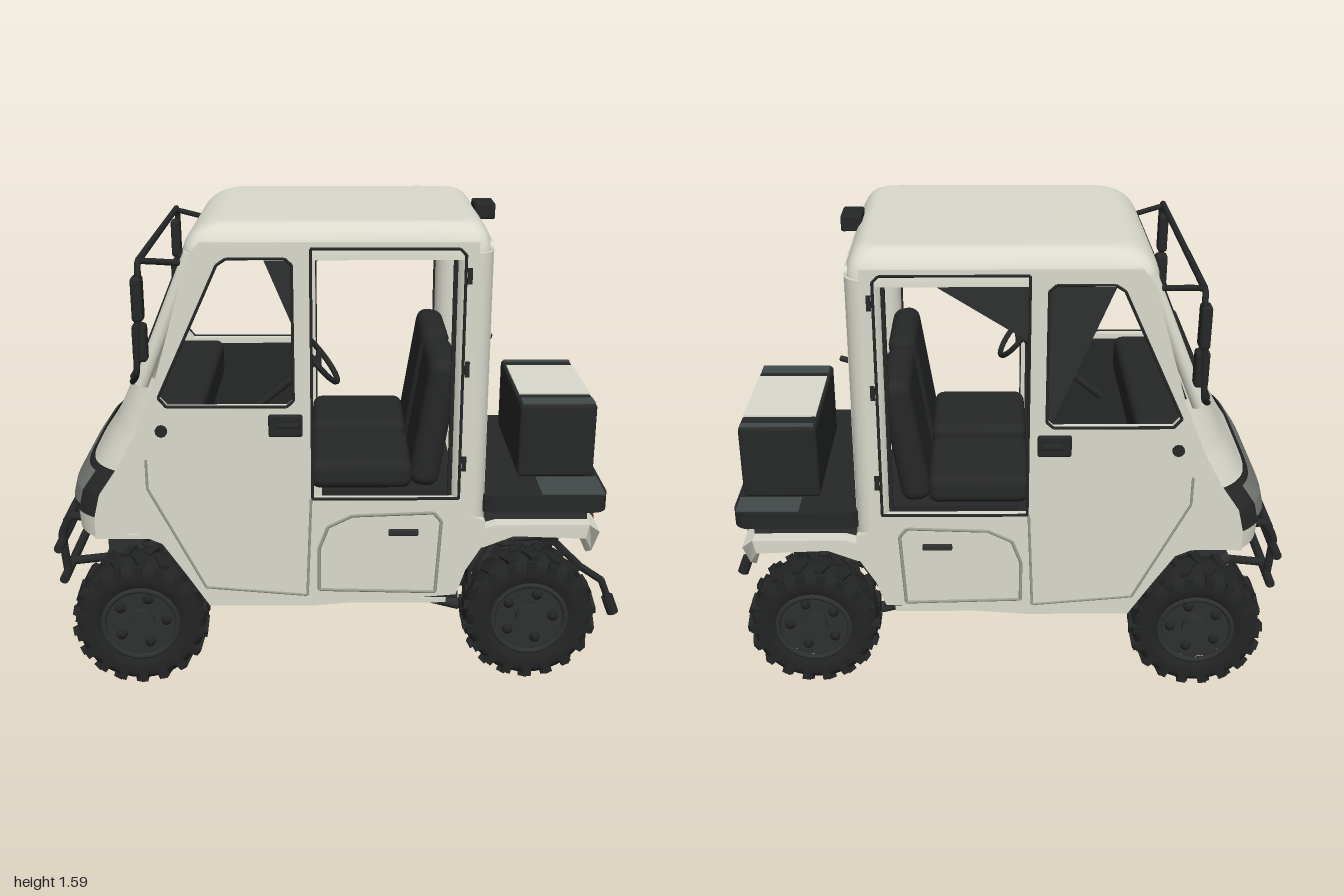
import * as THREE from 'three';
import { RoundedBoxGeometry } from 'three/addons/geometries/RoundedBoxGeometry.js';
import { ParametricGeometry } from 'three/addons/geometries/ParametricGeometry.js';

const mat = (name, color, side = THREE.FrontSide) => Object.assign(new THREE.MeshStandardMaterial({ color, side }), { name });
const V = (p) => new THREE.Vector3(...p);
const poly = (pts) => new THREE.Shape(pts.map((p) => new THREE.Vector2(...p)));
const extrude = (shape, depth) => new THREE.ExtrudeGeometry(shape, { depth, bevelEnabled: false, curveSegments: 8 });
const acrossX = (shape, depth) => extrude(shape, depth).rotateY(Math.PI / 2);
const roundRect = (x0, y0, x1, y1, r) => {
  const s = new THREE.Shape();
  [[x1 - r, y1 - r], [x0 + r, y1 - r], [x0 + r, y0 + r], [x1 - r, y0 + r]].forEach(([x, y], i) =>
    s.absarc(x, y, r, i * Math.PI / 2, (i + 1) * Math.PI / 2));
  return s.closePath();
};

export function createModel() {
  const paint = mat('cream paint', 0xdadacd, THREE.DoubleSide);
  const black = mat('black plastic', 0x262727, THREE.DoubleSide);
  const rubber = mat('tyre rubber', 0x232424);
  const metal = mat('dark metal', 0x2e3030);
  const glass = mat('tinted glass', 0x4a5355);
  const slate = mat('slate panel', 0x414a4a);
  const seam = mat('panel seam', 0x9b9c90);
  const red = mat('lamp red', 0x5e2024);
  const lampGrey = mat('lamp cover grey', 0x747871, THREE.DoubleSide);
  const model = new THREE.Group();
  const sides = [1, -1];

  const add = (name, geo, m, p = [0, 0, 0], parent = model) => {
    const mesh = new THREE.Mesh(geo, m);
    mesh.name = name;
    mesh.position.set(...p);
    parent.add(mesh);
    return mesh;
  };
  // boxes are given by their minimum and maximum corners
  const box = (name, m, a, b, r = 0) => {
    const s = a.map((v, i) => b[i] - v), c = a.map((v, i) => (v + b[i]) / 2);
    return add(name, r ? new RoundedBoxGeometry(...s, 3, r) : new THREE.BoxGeometry(...s), m, c);
  };
  const rod = (name, m, a, b, r) => {
    const d = V(b).sub(V(a));
    const mesh = add(name, new THREE.CylinderGeometry(r, r, d.length(), 10), m);
    mesh.position.copy(V(a)).addScaledVector(d, 0.5);
    mesh.quaternion.setFromUnitVectors(new THREE.Vector3(0, 1, 0), d.normalize());
  };
  const rods = (name, m, pts, r) => pts.slice(1).forEach((p, i) => rod(name, m, pts[i], p, r));
  const tube = (name, m, pts, r) =>
    add(name, new THREE.TubeGeometry(new THREE.CatmullRomCurve3(pts.map(V), false, 'catmullrom', 0.2), 32, r, 8), m);

  // ---- cab sides with front window and rear door opening
  const windowPts = [[-0.6, 1.03], [-0.575, 1.0], [-0.19, 1.0], [-0.168, 1.02], [-0.168, 1.46], [-0.19, 1.48], [-0.37, 1.48], [-0.4, 1.46], [-0.6, 1.03]];
  const doorPts = [[-0.11, 0.68], [0.37, 0.68], [0.37, 1.49], [0.35, 1.51], [-0.11, 1.51], [-0.11, 0.68]];
  const hatchPts = [[-0.09, 0.35], [0.3, 0.34], [0.315, 0.6], [0.29, 0.63], [0.02, 0.62], [-0.06, 0.58], [-0.09, 0.5], [-0.09, 0.35]];
  const sideShape = poly([[-0.83, 0.54], [-0.7, 0.56], [-0.61, 0.52], [-0.53, 0.4], [-0.46, 0.29], [-0.11, 0.29],
    [0.37, 0.33], [0.4, 0.42], [0.46, 0.52], [0.46, 0.6], [0.41, 0.62], [0.41, 1.53], [-0.45, 1.53],
    [-0.49, 1.48], [-0.61, 1.08], [-0.685, 0.9], [-0.75, 0.78], [-0.81, 0.7], [-0.83, 0.62]]);
  sideShape.holes.push(poly(windowPts.slice(1)), poly(doorPts.slice(1)));
  const sideGeo = extrude(sideShape, 0.03);
  for (const s of sides) {
    add('cabSide', sideGeo, paint, [0, 0, s > 0 ? 0.4 : -0.43]);
    const at = (pts) => pts.map(([x, y]) => [x, y, s * 0.428]);
    rods('windowSeal', black, at(windowPts), 0.005);
    rods('doorSeal', black, at(doorPts), 0.005);
    rods('doorSeam', seam, at([[-0.65, 0.82], [-0.65, 0.72], [-0.47, 0.36], [-0.13, 0.33], [-0.115, 0.68]]), 0.005);
    rods('hatchSeam', seam, at(hatchPts), 0.006);
    // side plates: x and y range, distance out, half thickness
    const plate = (name, m, x0, y0, x1, y1, z, h, r) => box(name, m, [x0, y0, s * z - h], [x1, y1, s * z + h], r);
    plate('innerDoorTrim', black, -0.58, 0.34, -0.125, 0.98, 0.392, 0.007);
    plate('doorRubber', black, 0.335, 0.68, 0.372, 1.5, 0.392, 0.007);
    plate('sill', paint, -0.46, 0.287, 0.34, 0.305, 0.365, 0.04);
    plate('doorHandle', black, -0.25, 0.9, -0.14, 0.975, 0.43, 0.012, 0.008);
    plate('handleGrip', black, -0.22, 0.935, -0.15, 0.95, 0.445, 0.015, 0.004);
    plate('hatchHandle', metal, 0.14, 0.55, 0.24, 0.572, 0.43, 0.01, 0.005);
    for (const y of [0.78, 1.1, 1.4]) plate('doorHinge', black, 0.375, y, 0.39, y + 0.05, 0.43, 0.006);
    plate('mirrorHousing', black, -0.655, 1.3, -0.62, 1.44, 0.488, 0.028, 0.012);
    plate('lowerMirror', black, -0.66, 1.17, -0.615, 1.29, 0.48, 0.025, 0.012);
    tube('mirrorArm', black, [[-0.5, 1.46, s * 0.4], [-0.63, 1.48, s * 0.46], [-0.63, 1.45, s * 0.5], [-0.65, 1.14, s * 0.5], [-0.68, 1.08, s * 0.41]], 0.01);
    rod('doorLock', black, [-0.595, 0.92, s * 0.42], [-0.595, 0.92, s * 0.44], 0.02);
    // rounded rear corner and windscreen pillars
    add('rearPost', new THREE.CylinderGeometry(0.06, 0.06, 0.95, 20), paint, [0.4, 1.02, s * 0.37]);
    rod('frontPillar', paint, [-0.655, 1.07, s * 0.405], [-0.48, 1.49, s * 0.4], 0.025);
    rod('pillarSeal', black, [-0.67, 1.08, s * 0.378], [-0.505, 1.47, s * 0.375], 0.014);
  }
  // partial dark side panes on one side
  add('frontSidePane', extrude(poly([[-0.38, 1.48], [-0.19, 1.02], [-0.168, 1.02], [-0.168, 1.48]]), 0.005), metal, [0, 0, -0.415]);
  add('rearSidePane', extrude(poly([[-0.11, 1.29], [0.24, 1.51], [-0.11, 1.51]]), 0.005), metal, [0, 0, -0.415]);

  // ---- domed roof made of rounded rings closing on the middle
  const sp = (c) => (Math.abs(c) < 1e-9 ? 0 : Math.sign(c) * Math.pow(Math.abs(c), 0.16));
  const roof = new ParametricGeometry((u, v, t) => {
    const a = Math.min(v / 0.8, 1) * Math.PI / 2, k = 1 - Math.cos(a), f = v > 0.801 ? (1 - v) / 0.2 : 1;
    const x0 = -0.515 + 0.13 * k, x1 = 0.462 - 0.07 * k, w = u * Math.PI * 2;
    t.set((x0 + x1) / 2 + (x1 - x0) / 2 * sp(Math.cos(w)) * f, 1.475 + 0.11 * Math.sin(a), (0.43 - 0.08 * k) * sp(Math.sin(w)) * f);
  }, 96, 10);
  roof.computeVertexNormals();
  add('roof', roof, paint);

  // ---- rear wall with window
  const wall = roundRect(-0.38, 0.5, 0.38, 1.52, 0.02);
  wall.holes.push(roundRect(-0.28, 1.14, 0.28, 1.45, 0.05));
  add('rearWall', acrossX(wall, 0.03), paint, [0.43, 0, 0]);
  add('rearWindow', acrossX(roundRect(-0.285, 1.135, 0.285, 1.455, 0.05), 0.008), glass, [0.445, 0, 0]);
  const gasket = roundRect(-0.29, 1.13, 0.29, 1.46, 0.06);
  gasket.holes.push(roundRect(-0.277, 1.143, 0.277, 1.447, 0.05));
  add('rearWindowSeal', acrossX(gasket, 0.008), black, [0.457, 0, 0]);
  box('rearInnerTrim', black, [0.415, 0.33, -0.38], [0.428, 1.1, 0.38]);
  box('rearCamera', black, [0.43, 1.535, -0.05], [0.5, 1.59, 0.065], 0.008);
  rods('rearLatch', metal, [[0.52, 1.095, -0.07], [0.475, 1.095, -0.1], [0.475, 1.1, 0]], 0.01);

  // ---- nose: swept front outline with rounded corners
  const outline = [[0.54, -0.915], [0.62, -0.92], [0.7, -0.9], [0.78, -0.845], [0.9, -0.775], [1.09, -0.685]];
  const frontX = (y) => {
    const i = Math.max(0, Math.min(4, outline.findIndex((p) => p[0] >= y) - 1));
    const [[ya, xa], [yb, xb]] = [outline[i], outline[i + 1]];
    return xa + (xb - xa) * (y - ya) / (yb - ya);
  };
  const noseSkin = (name, m, y0, y1, spread, out) => add(name, new ParametricGeometry((u, v, t) => {
    const y = Math.min(y0 + (y1 - y0) * v, 1.09), q = Math.sin((u * 2 - 1) * spread * Math.PI / 2);
    t.set(frontX(y) - out + 0.1 * Math.pow(Math.abs(q), 6), y, (0.428 + out) * q);
  }, 40, 22), m);
  noseSkin('nosePanel', paint, 0.54, 1.09, 1, 0);
  noseSkin('headlightBand', black, 0.62, 0.785, 0.97, 0.008);
  noseSkin('headlightCover', lampGrey, 0.65, 0.768, 0.68, 0.015);
  box('noseFloor', paint, [-0.84, 0.525, -0.4], [-0.62, 0.54, 0.4]);
  // windscreen frame and upper crossbar
  for (const [name, x, y, w, r] of [['windscreenSill', -0.675, 1.085, 0.38, 0.018], ['windscreenHeader', -0.505, 1.455, 0.38, 0.028],
    ['visorBar', -0.63, 1.485, 0.47, 0.011]]) rod(name, black, [x, y, -w], [x, y, w], r);

  // ---- interior
  box('cabFloor', black, [-0.5, 0.3, -0.4], [0.38, 0.335, 0.4]);
  box('dashboard', black, [-0.66, 0.86, -0.39], [-0.46, 1.0, 0.39], 0.03);
  box('firewall', black, [-0.6, 0.335, -0.39], [-0.56, 0.9, 0.39]);
  box('seatBase', black, [-0.08, 0.335, -0.38], [0.37, 0.69, 0.38]);
  for (const s of sides) {
    box('seatCushion', black, [-0.12, 0.685, s * 0.2 - 0.17], [0.22, 0.785, s * 0.2 + 0.17], 0.035);
    add('seatBack', new RoundedBoxGeometry(0.1, 0.44, 0.34, 3, 0.04), black, [0.29, 0.91, s * 0.2]).rotation.z = -0.16;
  }
  const steering = add('steeringWheel', new THREE.TorusGeometry(0.1, 0.01, 8, 28), black, [-0.09, 1.09, 0.18]);
  steering.quaternion.setFromUnitVectors(new THREE.Vector3(0, 0, 1), new THREE.Vector3(0.78, 0.62, 0).normalize());
  rod('steeringSpoke', black, [-0.09, 1.09, 0.08], [-0.09, 1.09, 0.28], 0.01);
  rod('steeringColumn', black, [-0.4, 0.84, 0.18], [-0.09, 1.09, 0.18], 0.014);

  // ---- rear deck, fender cover and cargo box
  add('rearDeck', extrude(roundRect(0.44, -0.41, 0.87, 0.41, 0.05), 0.06).rotateX(-Math.PI / 2), black, [0, 0.62, 0]);
  for (const [z0, z1] of [[0.245, 0.4], [-0.4, -0.305]]) box('deckPad', slate, [0.65, 0.678, z0], [0.86, 0.684, z1]);
  box('deckSupport', metal, [0.44, 0.57, -0.37], [0.81, 0.625, 0.37]);
  const cover = extrude(poly([[0.43, 0.56], [0.5, 0.58], [0.81, 0.58], [0.845, 0.555], [0.835, 0.46], [0.815, 0.455],
    [0.8, 0.53], [0.56, 0.54], [0.46, 0.5], [0.43, 0.5]]), 0.84).translate(0, 0, -0.42);
  // the tail narrows towards its lower edge
  const cp = cover.attributes.position;
  for (let i = 0; i < cp.count; i++) if (cp.getX(i) > 0.7 && cp.getY(i) < 0.5) cp.setZ(i, cp.getZ(i) * 0.86);
  cover.computeVertexNormals();
  add('rearFenderCover', cover, paint);
  for (const s of sides) {
    rod('tailLampRing', black, [0.83, 0.53, s * 0.25], [0.846, 0.53, s * 0.25], 0.042);
    rod('tailLamp', red, [0.83, 0.53, s * 0.25], [0.852, 0.53, s * 0.25], 0.038);
  }
  box('cargoBox', black, [0.59, 0.68, -0.3], [0.85, 0.94, 0.24], 0.012);
  box('cargoLid', paint, [0.6, 0.937, -0.21], [0.845, 0.945, 0.125]);
  for (const [z0, z1] of [[-0.29, -0.265], [0.165, 0.23]]) box('cargoLidEnd', slate, [0.6, 0.937, z0], [0.845, 0.943, z1]);

  // ---- wheels with chunky tread
  const tyreProfile = [[0.125, -0.4], [0.15, -0.48], [0.185, -0.5], [0.208, -0.42], [0.22, -0.2], [0.22, 0.2], [0.208, 0.42], [0.185, 0.5], [0.15, 0.48], [0.125, 0.4]];
  const makeWheel = (x, z, w, toe) => {
    const g = new THREE.Group();
    g.name = 'wheel';
    g.position.set(x, 0.232, z);
    g.rotation.y = toe;
    model.add(g);
    const prof = tyreProfile.map(([r, y]) => new THREE.Vector2(r, y * w));
    add('tyre', new THREE.LatheGeometry(prof, 36).rotateX(Math.PI / 2), rubber, [0, 0, 0], g);
    for (let i = 0; i < 36; i++) {
      const a = i / 36 * Math.PI * 2, s = i % 2 ? 1 : -1, c = Math.cos(a), n = Math.sin(a);
      const lug = add('treadLug', new THREE.BoxGeometry(0.03, 0.03, w * 0.4), rubber, [c * 0.214, n * 0.214, s * w * 0.2], g);
      lug.rotation.z = a;
      lug.rotateX(s * 0.4);
      add('shoulderLug', new THREE.BoxGeometry(0.04, 0.03, w * 0.12), rubber, [c * 0.196, n * 0.196, s * w * 0.45], g).rotation.z = a;
    }
    for (const [name, r, d] of [['rim', 0.127, 0.6], ['hub', 0.045, 0.85]])
      add(name, new THREE.CylinderGeometry(r, r, d * w, 28).rotateX(Math.PI / 2), metal, [0, 0, 0], g);
    for (const s of sides) {
      add('rimLip', new THREE.TorusGeometry(0.125, 0.01, 8, 32), metal, [0, 0, s * w * 0.42], g);
      for (let a = 0; a < 6; a += Math.PI * 0.4)
        add('rimSlot', new THREE.SphereGeometry(0.02, 8, 6), rubber, [Math.cos(a) * 0.085, Math.sin(a) * 0.085, s * w * 0.28], g);
    }
  };

  // ---- chassis, axles, suspension and front bumper
  for (const s of sides) {
    makeWheel(-0.7, s * 0.37, 0.18, s * 0.06);
    makeWheel(0.625, s * 0.35, 0.165, 0);
    rods('frameRail', metal, [[-0.85, 0.36, s * 0.18], [-0.5, 0.24, s * 0.18], [0.4, 0.25, s * 0.18], [0.5, 0.42, s * 0.18], [0.8, 0.45, s * 0.18]], 0.022);
    rods('trailingArm', metal, [[0.12, 0.285, s * 0.27], [0.4, 0.2, s * 0.25], [0.62, 0.22, s * 0.22]], 0.02);
    rods('frontArm', metal, [[-0.25, 0.27, s * 0.22], [-0.45, 0.21, s * 0.22], [-0.7, 0.22, s * 0.28]], 0.02);
    for (const x of [-0.66, 0.58]) {
      rod('shockAbsorber', metal, [x, 0.24, s * 0.24], [x - 0.03, 0.53, s * 0.19], 0.016);
      for (let i = 0; i < 6; i++)
        add('shockSpring', new THREE.TorusGeometry(0.03, 0.007, 6, 14).rotateX(Math.PI / 2), black, [x - 0.01 - i * 0.003, 0.32 + i * 0.026, s * (0.223 - i * 0.004)]);
    }
    tube('bumperUpright', black, [[-0.88, 0.53, s * 0.24], [-0.95, 0.54, s * 0.24], [-0.985, 0.47, s * 0.24], [-0.975, 0.32, s * 0.24]], 0.015);
    rod('bumperStay', black, [-0.975, 0.34, s * 0.18], [-0.8, 0.36, s * 0.18], 0.015);
  }
  for (const [x, y, w] of [[-0.965, 0.52, 0.24], [-0.985, 0.45, 0.32], [-0.975, 0.33, 0.31]]) rod('bumperBar', black, [x, y, -w], [x, y, w], 0.016);
  for (const x of [-0.7, 0.625]) {
    rod('axle', metal, [x, 0.232, -0.33], [x, 0.232, 0.33], 0.025);
    add('differential', new THREE.SphereGeometry(0.07, 16, 12), metal, [x, 0.26, 0.03]);
  }
  for (const x of [-0.4, -0.1, 0.3]) rod('crossMember', metal, [x, 0.25, -0.3], [x, 0.25, 0.3], 0.02);
  rod('driveShaft', metal, [-0.7, 0.25, 0], [0.62, 0.25, 0], 0.02);
  box('gearbox', metal, [-0.06, 0.22, -0.1], [0.08, 0.3, 0.12], 0.02);
  box('motor', metal, [0.42, 0.27, -0.12], [0.7, 0.44, 0.13], 0.04);
  box('frontSubframe', metal, [-0.84, 0.36, -0.18], [-0.58, 0.53, 0.18]);

  // ---- rear tow arm
  rods('towArm', black, [[0.76, 0.38, 0.14], [0.85, 0.29, 0.14], [0.93, 0.235, 0.14], [0.97, 0.13, 0.14]], 0.013);
  rod('towHandle', black, [0.955, 0.17, 0.14], [0.98, 0.105, 0.14], 0.022);
  return model;
}
